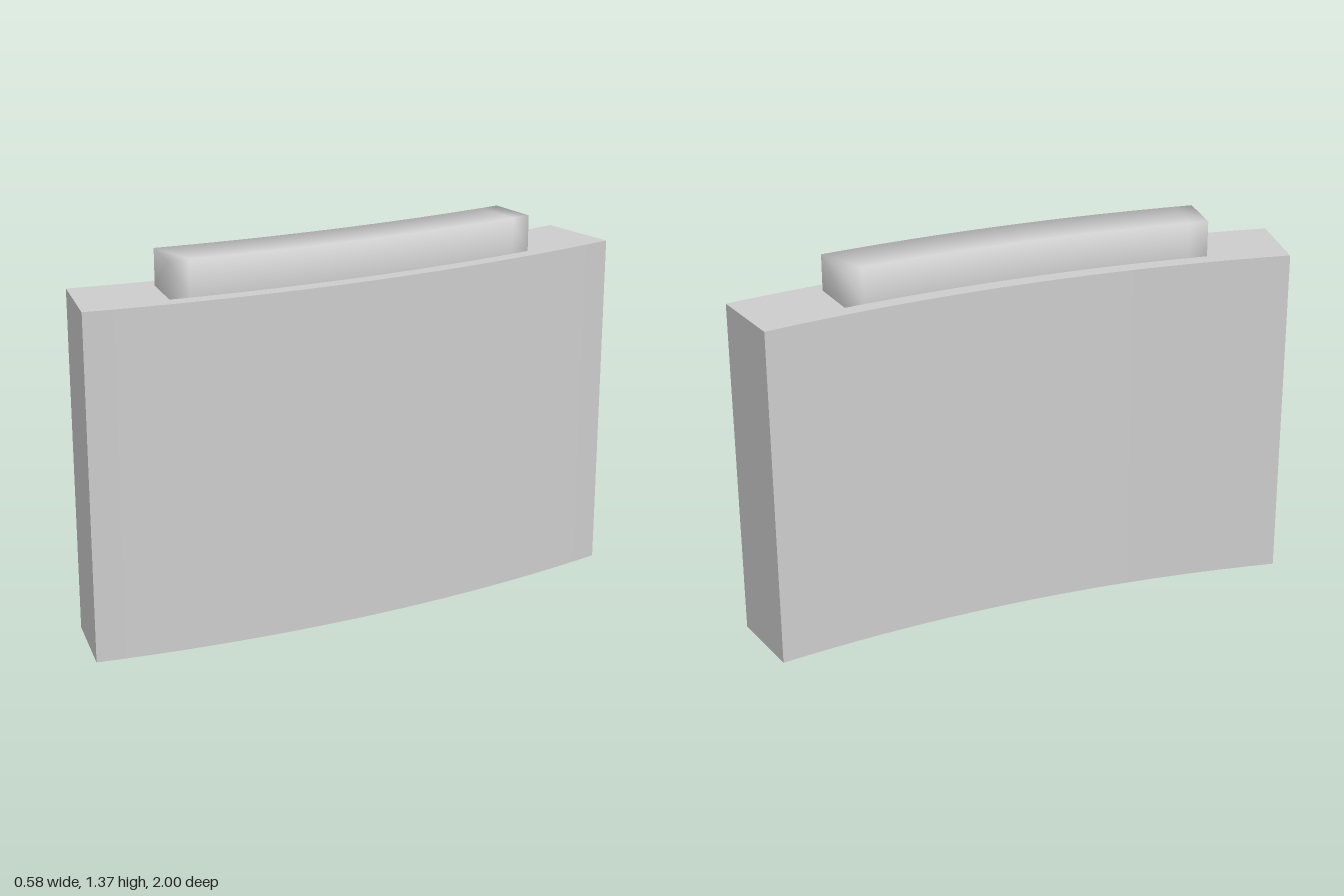
import * as THREE from 'three';

const CX = -5.313, CZ = -0.81;   // centre of the wall's curve
const HEIGHT = 1.24, KEY = 0.13; // block height, tenon height / slot depth
const SEG = 20;

const BODY = { r0: 5.306, r1: 5.6, a0: -0.034, a1: 0.329 };
const TENON = { r0: 5.364, r1: 5.546, a0: 0.0252, a1: 0.2747 };

// Curved block, open underneath; inward = true turns its faces to the inside
function curvedBlock({ r0, r1, a0, a1 }, y0, y1, inward = false) {
  const pos = [], idx = [];
  const tri = (a, b, c) => (inward ? idx.push(a, c, b) : idx.push(a, b, c));
  for (let i = 0; i <= SEG; i++) {
    const a = a0 + (a1 - a0) * i / SEG;
    for (const [r, y] of [[r0, y0], [r0, y1], [r1, y1], [r1, y0]]) {
      pos.push(CX + r * Math.cos(a), y, CZ + r * Math.sin(a));
    }
  }
  for (let i = 0; i < SEG; i++) {
    for (let j = 0; j < 3; j++) { // inner wall, top, outer wall
      const a = i * 4 + j, b = a + 1, c = a + 4, d = a + 5;
      tri(a, c, b);
      tri(b, c, d);
    }
  }
  const e = SEG * 4; // end faces
  tri(0, 1, 2); tri(0, 2, 3);
  tri(e, e + 3, e + 2); tri(e, e + 2, e + 1);
  const g = new THREE.BufferGeometry();
  g.setAttribute('position', new THREE.Float32BufferAttribute(pos, 3));
  g.setIndex(idx);
  g.computeVertexNormals();
  return g;
}

// Plan outline of a curved block, as (x, z)
function outline({ r0, r1, a0, a1 }) {
  const pts = [];
  const add = (r, t) => {
    const a = a0 + (a1 - a0) * t;
    pts.push(new THREE.Vector2(CX + r * Math.cos(a), CZ + r * Math.sin(a)));
  };
  for (let i = 0; i <= SEG; i++) add(r1, i / SEG);
  for (let i = SEG; i >= 0; i--) add(r0, i / SEG);
  return pts;
}

export function createModel() {
  const group = new THREE.Group();
  const stone = new THREE.MeshStandardMaterial({ color: 0xcccccc });
  stone.name = 'light grey';

  const add = (name, geometry) => {
    const mesh = new THREE.Mesh(geometry, stone);
    mesh.name = name;
    group.add(mesh);
  };

  // Main block with flat facets
  const body = curvedBlock(BODY, 0, HEIGHT).toNonIndexed();
  body.computeVertexNormals();
  add('body', body);

  // Underside with the slot opening
  const base = new THREE.Shape(outline(BODY));
  base.holes.push(new THREE.Path(outline(TENON)));
  add('underside', new THREE.ShapeGeometry(base).rotateX(Math.PI / 2));

  // Soft-shaded tenon on top and matching slot below
  add('tenon', curvedBlock(TENON, HEIGHT, HEIGHT + KEY));
  add('slot', curvedBlock(TENON, 0, KEY, true));

  return group;
}
